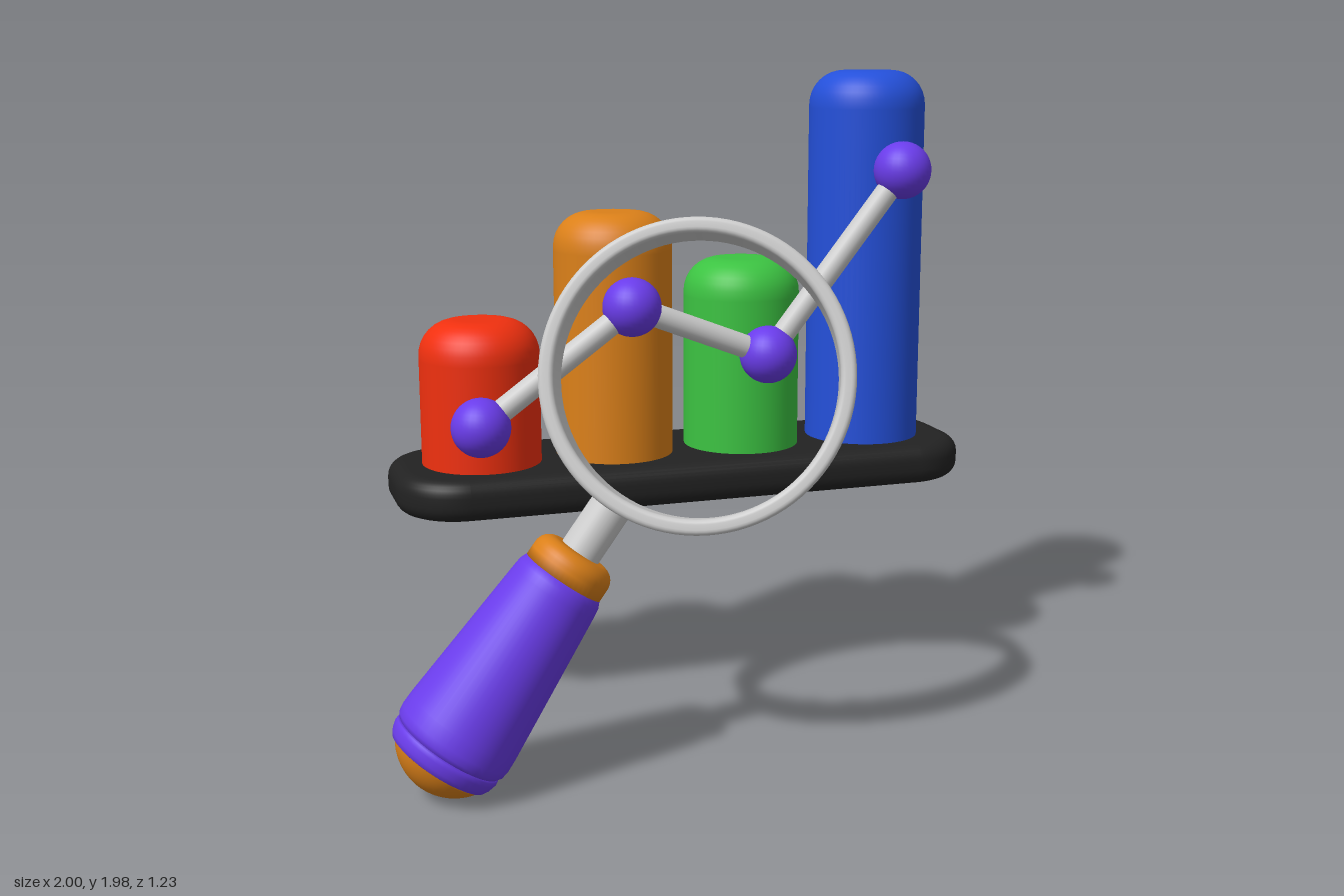
import * as THREE from 'three';
import { toCreasedNormals } from 'three/addons/utils/BufferGeometryUtils.js';

const mat = (color) => new THREE.MeshStandardMaterial({ color });
const grey = mat(0xcccccc);
const black = mat(0x222222);
const purple = mat(0x6a3cea);
const orange = mat(0xdb8019);

function add(parent, name, geometry, material) {
  const mesh = new THREE.Mesh(geometry, material);
  mesh.name = name;
  parent.add(mesh);
  return mesh;
}

const lathe = (points, segments = 64) =>
  new THREE.LatheGeometry(points.map((p) => new THREE.Vector2(p[0], p[1])), segments);

// Quarter round from angle a to b, as profile points
function arc(cx, cy, r, a, b, n = 8) {
  return Array.from({ length: n + 1 }, (_, i) => {
    const t = a + ((b - a) * i) / n;
    return [cx + r * Math.cos(t), cy + r * Math.sin(t)];
  });
}

const H = Math.PI / 2;

function roundedRect(hw, hh, r) {
  const s = new THREE.Shape();
  s.absarc(hw - r, hh - r, r, 0, H);
  s.absarc(-hw + r, hh - r, r, H, 2 * H);
  s.absarc(-hw + r, -hh + r, r, 2 * H, 3 * H);
  s.absarc(hw - r, -hh + r, r, 3 * H, 4 * H);
  s.closePath();
  return s;
}

// Bar chart: plinth, four round-topped columns and a trend line
function buildChart() {
  const chart = new THREE.Group();
  chart.name = 'barChart';

  const bevel = 0.05;
  const slab = new THREE.ExtrudeGeometry(roundedRect(0.94 - bevel, 0.267 - bevel, 0.15), {
    depth: 0.13 - 2 * bevel, bevelThickness: bevel, bevelSize: bevel, bevelSegments: 6, curveSegments: 12,
  });
  slab.rotateX(-H);
  const plinth = add(chart, 'plinth', toCreasedNormals(slab, 0.6), black);
  plinth.position.set(0.06, 0.65 + bevel, -0.355);

  const columns = [
    ['redColumn', -0.595, 1.23, 0xf0300f],
    ['orangeColumn', -0.163, 1.55, 0xdb8019],
    ['greenColumn', 0.267, 1.39, 0x3cc342],
    ['blueColumn', 0.697, 1.98, 0x2450da],
  ];
  const r = 0.187, round = 0.11, bottom = 0.76;
  for (const [name, x, top, color] of columns) {
    const h = top - bottom;
    const profile = [[r, 0], [r, h - round - 0.01], ...arc(r - round, h - round, round, 0, H), [0.06, h], [0, h]];
    add(chart, name, lathe(profile), mat(color)).position.set(x, bottom, -0.355);
  }

  // Trend line: beads joined by rods
  const beads = [[-0.645, 0.945], [-0.175, 1.285], [0.265, 1.115], [0.708, 1.675]]
    .map(([x, y]) => new THREE.Vector3(x, y, -0.095));
  beads.forEach((p, i) => {
    add(chart, 'trendBead', new THREE.SphereGeometry(0.09, 32, 20), purple).position.copy(p);
    if (i === 0) return;
    const dir = p.clone().sub(beads[i - 1]);
    const rod = add(chart, 'trendRod', new THREE.CylinderGeometry(0.036, 0.036, dir.length(), 24), grey);
    rod.position.copy(p).add(beads[i - 1]).multiplyScalar(0.5);
    rod.quaternion.setFromUnitVectors(new THREE.Vector3(0, 1, 0), dir.normalize());
  });
  return chart;
}

// Magnifier: local origin at the ring centre, handle along -y
function buildMagnifier() {
  const glass = new THREE.Group();
  glass.name = 'magnifier';

  // Wide band with softened edges, turned about the handle axis
  const R = 0.441, inner = 0.396, half = 0.092, e = 0.015;
  const band = [
    ...arc(R - e, -half + e, e, -H, 0, 4), [R, -half + e + 0.005], [R, half - e - 0.005],
    ...arc(R - e, half - e, e, 0, H, 4),
    ...arc(inner + e, half - e, e, H, 2 * H, 4), [inner, half - e - 0.005], [inner, -half + e + 0.005],
    ...arc(inner + e, -half + e, e, 2 * H, 3 * H, 4), [R - e, -half],
  ];
  const ring = add(glass, 'ring', lathe(band, 96).rotateX(H), grey);
  ring.rotation.y = -0.445;

  const neck = add(glass, 'neck', new THREE.CylinderGeometry(0.06, 0.06, 0.22, 32), grey);
  neck.position.y = -0.52;

  // Collar
  add(glass, 'collar', lathe([
    [0, -0.69], [0.122, -0.69], [0.122, -0.645], ...arc(0.077, -0.635, 0.045, 0, H), [0, -0.59],
  ], 48), orange);

  // Tapered grip
  add(glass, 'grip', lathe([
    [0, -1.25], [0.15, -1.25], [0.164, -1.245], [0.173, -1.232], [0.176, -1.21], [0.174, -1.17],
    [0.134, -0.72], [0.131, -0.695], [0.122, -0.675], [0.108, -0.668], [0, -0.668],
  ], 48), purple);

  // Thin band between grip and end cap
  add(glass, 'gripBand', lathe([
    [0, -1.3], [0.145, -1.3], [0.154, -1.297], [0.162, -1.283], [0.168, -1.262],
    [0.167, -1.25], [0.16, -1.244], [0, -1.244],
  ], 48), purple);

  // Domed end cap
  add(glass, 'endCap', lathe([...arc(0, -1.21, 0.17, -H, -0.5, 12), [0, -1.29]], 48), orange);

  glass.position.set(-0.11, 1.148, 0.345);
  glass.rotation.z = -Math.PI / 5;
  return glass;
}

export function createModel() {
  const model = new THREE.Group();
  model.name = 'chartWithMagnifier';
  model.add(buildChart(), buildMagnifier());
  return model;
}
